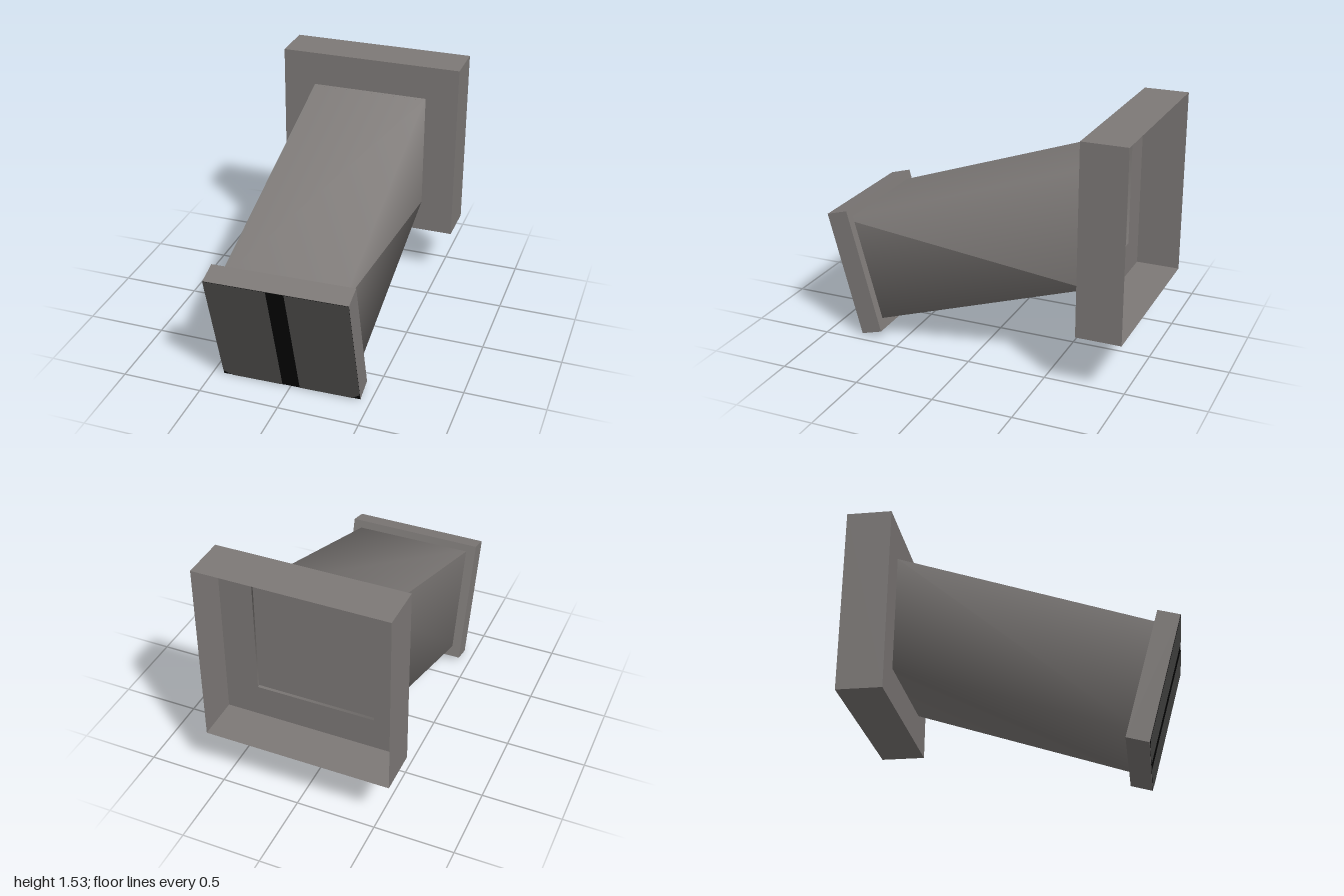
import * as THREE from 'three';

const material = (name, color, side = THREE.FrontSide) => {
  const m = new THREE.MeshStandardMaterial({ color, side });
  m.name = name;
  return m;
};

export function createModel() {
  const group = new THREE.Group();
  const metal = material('warm grey metal', 0x7d7977, THREE.DoubleSide);
  const panel = material('dark grey panel', 0x51504f);
  const black = material('black', 0x030303);

  const add = (parent, name, geometry, mat, x = 0, y = 0, z = 0) => {
    const mesh = new THREE.Mesh(geometry, mat);
    mesh.name = name;
    mesh.position.set(x, y, z);
    parent.add(mesh);
    return mesh;
  };

  const outline = (points) => points.map(([x, y]) => new THREE.Vector2(x, y));

  // Rectangular cross-section: counter-clockwise seen from the front
  const ring = (w, y0, z0, y1, z1) => [[-w, y0, z0], [w, y0, z0], [w, y1, z1], [-w, y1, z1]];

  // Surface through chosen corners of two sections (0-3 rear, 4-7 front), smooth where corners are shared
  const skin = (rear, front, index) => {
    const g = new THREE.BufferGeometry();
    g.setAttribute('position', new THREE.Float32BufferAttribute([...rear, ...front].flat(), 3));
    g.setIndex(index);
    g.computeVertexNormals();
    return g;
  };
  const wall = (i) => {
    const j = (i + 1) % 4;
    return [i, j, j + 4, i, j + 4, i + 4];
  };

  // Wall housing: thin sides, open at the back, front plate pierced by the duct
  const housing = new THREE.Group();
  housing.name = 'rearHousing';
  group.add(housing);
  const W = 0.59, bottom = 0.355, top = 1.535, back = -1, face = -0.72;
  ['Bottom', 'Right', 'Top', 'Left'].forEach((side, i) => add(housing, 'housing' + side,
    skin(ring(W, bottom, back, top, back), ring(W, bottom, face, top, face), wall(i)), metal));

  const w = 0.378, low = 0.567, high = 1.317;
  const plate = new THREE.Shape(outline(ring(W, bottom, 0, top, 0)));
  plate.holes.push(new THREE.Path(outline(ring(w, low, 0, high, 0).reverse())));
  add(housing, 'housingFrontPlate', new THREE.ShapeGeometry(plate), metal, 0, 0, face);

  // Recessed cover closing the rear of the duct
  add(housing, 'recessedCover', new THREE.PlaneGeometry(2 * w, high - low - 0.01), metal, 0, (low + high) / 2, face + 0.015);

  // Sloping duct in two smooth skins that meet in a diagonal crease on one side
  const rear = ring(w, low, face, high, face), front = ring(w, 0.085, 0.74, 0.755, 0.92);
  add(group, 'ductUpperSkin', skin(rear, front, [...wall(2), 1, 2, 6]), metal);
  add(group, 'ductLowerSkin', skin(rear, front, [...wall(3), ...wall(0), 1, 6, 5]), metal);

  // Tilted front flange
  const flange = new THREE.Group();
  flange.name = 'frontFlange';
  flange.position.set(0, 0.416, 0.82);
  flange.rotation.set(0.267, 0.017, 0.006);
  group.add(flange);
  const fw = 0.872, fh = 0.814, fd = 0.138;
  add(flange, 'flangeBody', new THREE.BoxGeometry(fw, fh, fd), metal);

  // Black backing, seen in the central slot and at the clipped lower corners
  add(flange, 'blackBacking', new THREE.PlaneGeometry(fw, fh), black, 0, 0, fd / 2 + 0.002);
  const hx = fw / 2, hy = fh / 2, slot = 0.055;
  add(flange, 'rightFacePanel', new THREE.ShapeGeometry(new THREE.Shape(outline(
    [[-hx, hy], [-hx, -hy + 0.025], [-hx + 0.06, -hy], [-slot, -hy], [-slot, hy]]))), panel, 0, 0, fd / 2 + 0.004);
  add(flange, 'leftFacePanel', new THREE.ShapeGeometry(new THREE.Shape(outline(
    [[hx, hy], [slot, hy], [slot, -hy], [hx - 0.05, -hy], [hx, -hy + 0.04]]))), panel, 0, 0, fd / 2 + 0.004);

  return group;
}
